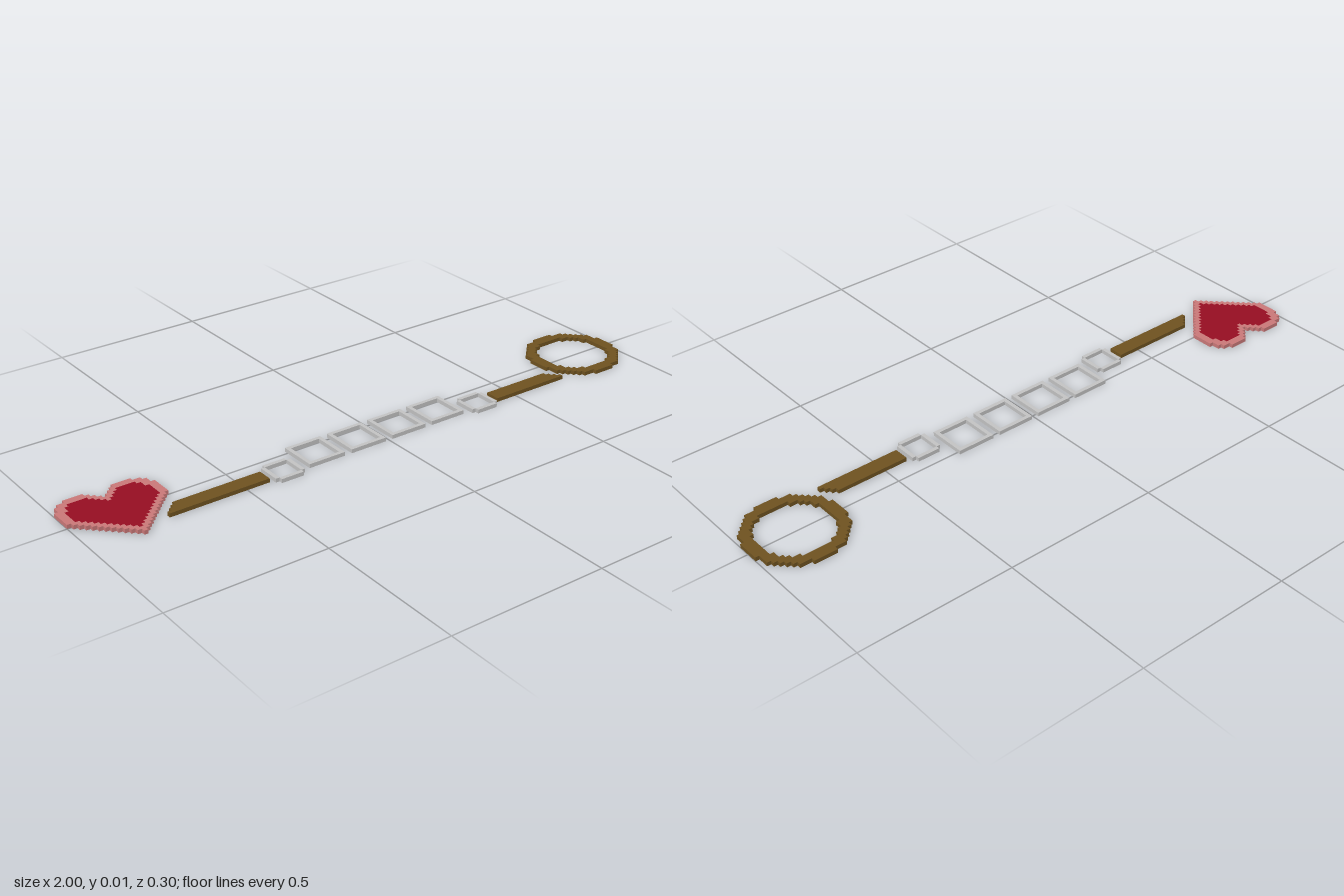
import * as THREE from 'three';
import { mergeGeometries } from 'three/addons/utils/BufferGeometryUtils.js';

const CELL = 0.0125; // the model is one layer of square cells, 160 wide and 24 deep

function material(name, color) {
  const m = new THREE.MeshStandardMaterial({ color });
  m.name = name;
  return m;
}

// Fills the cells of a w x h block at (col, row) where inside(i, j) holds, one box per run
function cells(name, mat, col, row, w, h, inside) {
  const boxes = [];
  for (let j = 0; j < h; j++) {
    for (let i = 0; i < w; i++) {
      if (!inside(i, j)) continue;
      const start = i;
      while (i < w && inside(i, j)) i++;
      const box = new THREE.BoxGeometry((i - start) * CELL, CELL, CELL);
      box.translate((col + (start + i) / 2) * CELL, CELL / 2, (row + j + 0.5) * CELL);
      boxes.push(box);
    }
  }
  const mesh = new THREE.Mesh(mergeGeometries(boxes), mat);
  mesh.name = name;
  return mesh;
}

// Mirrored heart: lobe rows give [nearest, farthest] distance from the middle column
function heartTest(top, lobes, halfWidth, tip) {
  return (i, j) => {
    const d = Math.abs(i - 12);
    const lobe = lobes[j - top];
    if (lobe) return d >= lobe[0] && d <= lobe[1];
    return j >= top && d <= Math.min(halfWidth, tip - j);
  };
}

export function createModel() {
  const group = new THREE.Group();
  const bronze = material('bronze', 0x6e5220);
  const silver = material('silver', 0xc2c2c2);
  const red = material('deep red', 0x960e22);
  const pink = material('dusty pink', 0xc97878);

  // Heart charm with a pink rim
  const outer = heartTest(0, [[4, 8], [3, 10], [2, 11], [1, 11]], 12, 21);
  const inner = heartTest(2, [[4, 8], [3, 9], [2, 9], [1, 10]], 10, 19);
  group.add(cells('heartRim', pink, -80, -10, 25, 22, (i, j) => outer(i, j) && !inner(i, j)));
  group.add(cells('heartCentre', red, -80, -10, 25, 22, inner));

  // Round ring
  group.add(cells('ring', bronze, 56, -12, 24, 24, (i, j) => {
    const r = Math.hypot(i - 11.5, j - 11.5);
    return r > 9.5 && r < 12;
  }));

  // Bars with stepped outer ends
  group.add(cells('leftEndBar', bronze, -60, 5, 26, 4, (i, j) => i >= 3 - j));
  group.add(cells('rightEndBar', bronze, 34, 5, 22, 4, (i, j) => i < 19 + j));

  // Square chain links
  const edge = (n) => (i, j) => i === 0 || j === 0 || i === n - 1 || j === n - 1;
  for (const col of [-23, -11, 1, 13]) {
    group.add(cells('squareLink', silver, col, -1, 10, 10, edge(10)));
  }

  // Small end links with clipped corners
  const corner = (i, j) => i % 7 === 0 && j % 7 === 0;
  for (const col of [-33, 25]) {
    group.add(cells('smallLink', silver, col, 3, 8, 8, (i, j) => edge(8)(i, j) && !corner(i, j)));
  }
  return group;
}
